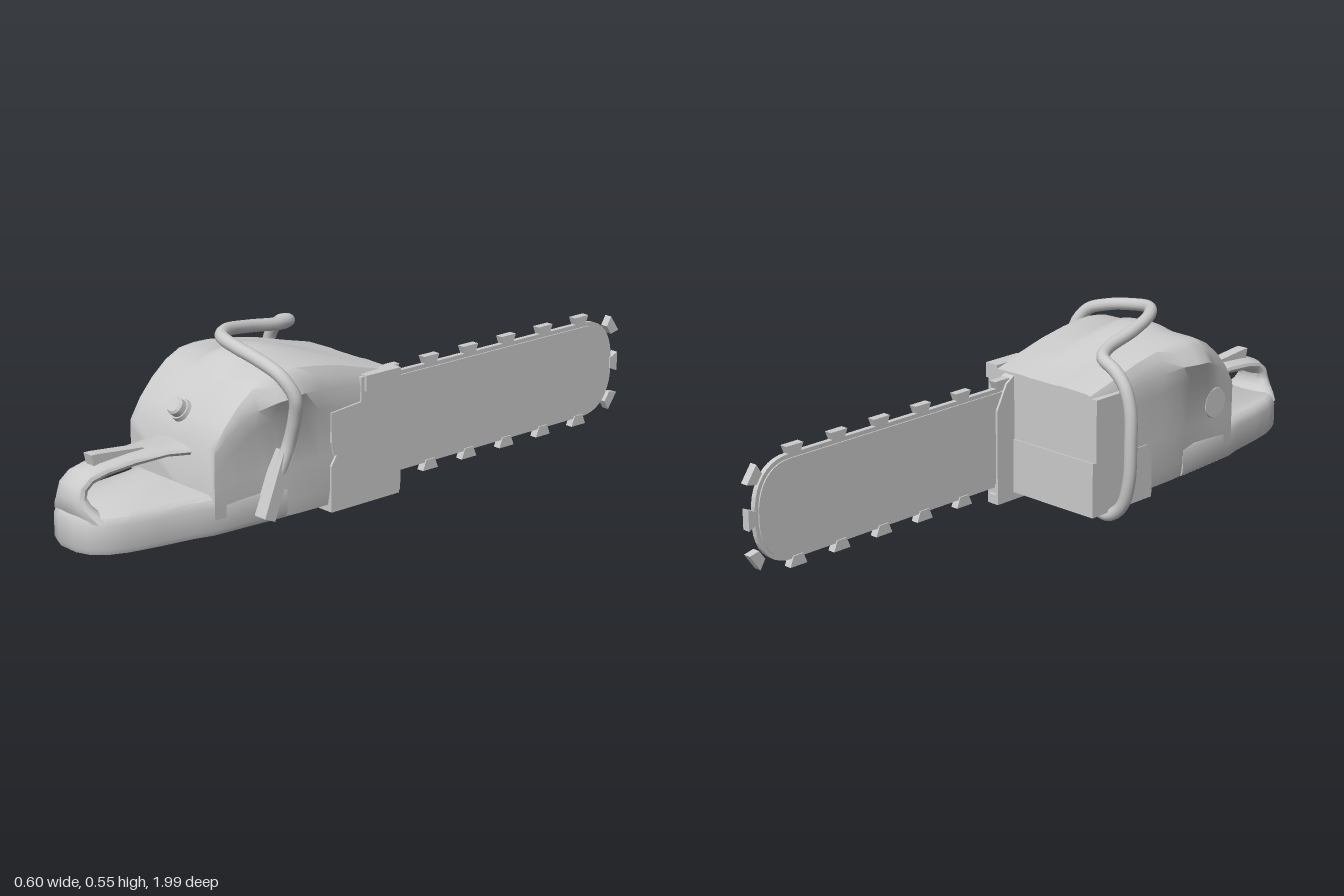
import * as THREE from 'three';
import { toCreasedNormals } from 'three/addons/utils/BufferGeometryUtils.js';

const grey = new THREE.MeshStandardMaterial({ color: 0xcccccc, side: THREE.DoubleSide });
const CX = 0.013; // centre line of the engine body

// Skin a list of closed rings (anticlockwise seen from the far end), with end caps
function loft(rings) {
  const n = rings[0].length, pos = rings.flat(2), idx = [];
  for (let i = 0; i < rings.length - 1; i++) {
    for (let j = 0; j < n; j++) {
      const a = i * n + j, b = i * n + (j + 1) % n;
      idx.push(a, b, b + n, a, b + n, a + n);
    }
  }
  const last = (rings.length - 1) * n;
  for (let j = 1; j < n - 1; j++) idx.push(0, j + 1, j, last, last + j, last + j + 1);
  const g = new THREE.BufferGeometry();
  g.setAttribute('position', new THREE.Float32BufferAttribute(pos, 3));
  g.setIndex(idx);
  return toCreasedNormals(g, 0.7);
}

// Extrude a side outline of [z, y] points from x0 to x1
function sidePlate(points, x0, x1) {
  const shape = new THREE.Shape(points.map(p => new THREE.Vector2(p[0], p[1])));
  const g = new THREE.ExtrudeGeometry(shape, { depth: x1 - x0, bevelEnabled: false });
  return g.rotateY(-Math.PI / 2).translate(x1, 0, 0);
}

export function createModel() {
  const model = new THREE.Group();
  const add = (name, geometry, parent = model) => {
    const m = new THREE.Mesh(geometry, grey);
    m.name = name;
    parent.add(m);
    return m;
  };
  const box = (name, x0, x1, y0, y1, z0, z1) =>
    add(name, new THREE.BoxGeometry(x1 - x0, y1 - y0, z1 - z0))
      .position.set((x0 + x1) / 2, (y0 + y1) / 2, (z0 + z1) / 2);

  // Engine body: z, lower half width, shoulder half width, shoulder y, top half width, top y, ridge
  const stations = [
    [0.00, 0.200, 0.205, 0.36, 0.192, 0.400, 0],
    [0.10, 0.203, 0.207, 0.37, 0.190, 0.425, 0],
    [0.20, 0.205, 0.210, 0.39, 0.188, 0.452, 0.008],
    [0.29, 0.205, 0.215, 0.40, 0.188, 0.468, 0.020],
    [0.36, 0.203, 0.232, 0.41, 0.190, 0.476, 0.026],
    [0.41, 0.198, 0.246, 0.41, 0.192, 0.476, 0.024],
    [0.46, 0.192, 0.240, 0.405, 0.192, 0.470, 0.015],
    [0.51, 0.190, 0.214, 0.385, 0.190, 0.446, 0.004],
    [0.56, 0.188, 0.200, 0.355, 0.188, 0.405, 0],
    [0.605, 0.187, 0.192, 0.32, 0.186, 0.355, 0],
    [0.64, 0.185, 0.186, 0.28, 0.184, 0.300, 0]
  ];
  add('engineBody', loft(stations.map(([z, w, ws, ys, wt, yt, r]) => {
    const half = [
      [w * 0.96, 0.055], [w, 0.10], [w, 0.20], [w + (ws - w) * 0.35, ys - 0.06],
      [ws, ys], [(ws + wt) / 2, ys + (yt - ys) * 0.6], [wt, yt - 0.004], [wt - 0.02, yt],
      [0.075, yt + 0.002], [0.05, yt + r * 0.8], [0.02, yt + r]
    ];
    const left = half.map(([x, y]) => [CX + x, y, z]);
    const right = half.map(([x, y]) => [CX - x, y, z]).reverse();
    return [...left, ...right];
  })));

  // Fuel tank: plan outline swept upward with a rounded upper edge
  const plan = [[0.20, 0.40], [0.19, 0.55], [0.185, 0.64], [0.168, 0.70], [0.152, 0.80], [0.133, 0.89],
    [0.11, 0.945], [0.075, 0.98], [0.035, 0.995]];
  const tankRing = (y, s) => {
    const ring = plan.map(([x, z]) => [CX + x * s, y, 0.4 + (z - 0.4) * (1 - (1 - s) * 0.35)]);
    const other = ring.map(([x, yy, z]) => [2 * CX - x, yy, z]).reverse();
    return [...ring, ...other].reverse();
  };
  add('fuelTank', loft([[0.055, 0.97], [0.07, 1], [0.135, 1], [0.155, 0.96], [0.165, 0.87]]
    .map(([y, s]) => tankRing(y, s))));

  // Rear grip: z, y, half width, half thickness, heading (0 = rearward, 1 = down)
  const grip = [
    [0.58, 0.262, 0.105, 0.032, 0], [0.64, 0.268, 0.088, 0.018, 0], [0.70, 0.270, 0.066, 0.016, 0],
    [0.80, 0.266, 0.056, 0.018, 0], [0.89, 0.258, 0.053, 0.019, 0.1], [0.94, 0.246, 0.052, 0.021, 0.35],
    [0.966, 0.225, 0.053, 0.023, 0.7], [0.972, 0.20, 0.056, 0.024, 1], [0.967, 0.18, 0.068, 0.028, 1],
    [0.955, 0.16, 0.090, 0.034, 1], [0.94, 0.14, 0.11, 0.04, 1]
  ];
  add('rearGrip', loft(grip.map(([z, y, w, t, h]) => {
    const a = h * Math.PI / 2;
    return Array.from({ length: 16 }, (_, k) => {
      const p = k / 16 * 2 * Math.PI, c = Math.cos(p), s = Math.sin(p);
      const u = Math.sign(s) * Math.abs(s) ** 0.75 * t;
      return [CX + w * c, y + u * Math.cos(a), z + u * Math.sin(a)];
    });
  })));
  // Raised flare where the grip meets the body
  add('gripTrigger', sidePlate([[0.74, 0.278], [0.91, 0.27], [0.918, 0.303], [0.90, 0.303], [0.75, 0.289]],
    CX - 0.018, CX + 0.018));

  // Filler cap on the sloping rear face
  const cap = new THREE.Group();
  cap.name = 'fillerCap';
  cap.position.set(CX, 0.355, 0.60);
  cap.rotation.x = 0.9;
  model.add(cap);
  add('capCollar', new THREE.CylinderGeometry(0.03, 0.034, 0.02, 20), cap).position.y = 0.005;
  add('capKnob', toCreasedNormals(new THREE.LatheGeometry(
    [[0, -0.01], [0.026, -0.01], [0.026, 0.033], [0.02, 0.04], [0, 0.04]].map(p => new THREE.Vector2(...p)), 20), 0.6), cap);

  // Vent disc on the right flank
  const vent = add('ventDisc', new THREE.CylinderGeometry(0.045, 0.052, 0.02, 24));
  vent.rotation.z = Math.PI / 2;
  vent.position.set(-0.173, 0.25, 0.55);

  // Crankcase block and side covers
  add('crankcase', sidePlate([[-0.004, 0.035], [0.25, 0.035], [0.25, 0.17], [0.23, 0.2], [-0.004, 0.2]], -0.195, 0.225));
  add('clutchCover', sidePlate([[0, 0.2], [0.24, 0.2], [0.25, 0.24], [0.25, 0.325], [0.14, 0.335],
    [0.14, 0.405], [0, 0.405]], 0.19, 0.226));
  box('upperCover', 0.19, 0.235, 0.365, 0.41, 0, 0.13);
  box('starterCover', -0.205, -0.17, 0.2, 0.39, 0, 0.13);

  // Bar mount hanging behind and below the block
  add('barMount', sidePlate([[0.11, 0.012], [-0.07, 0.012], [-0.07, 0.30], [-0.03, 0.375], [0.01, 0.40],
    [0.01, 0.06], [0.11, 0.06]], 0.12, 0.16));

  // Guide bar with rounded nose
  const barOutline = (inset) => {
    const pts = [[0, 0.065 + inset]];
    for (let i = 0; i <= 20; i++) {
      const a = -Math.PI / 2 + Math.PI * i / 20, c = Math.cos(a), s = Math.sin(a);
      pts.push([-0.84 - (0.13 - inset) * Math.abs(c) ** 0.85, 0.215 + (0.15 - inset) * Math.sign(s) * Math.abs(s) ** 0.85]);
    }
    pts.push([0, 0.365 - inset]);
    return pts.reverse();
  };
  add('guideBar', sidePlate(barOutline(0.012), 0.127, 0.151));
  add('chainRail', sidePlate(barOutline(0), 0.131, 0.147));

  // Chain teeth along both edges and round the nose: z, y, outward angle
  const teeth = new THREE.Group();
  teeth.name = 'chainTeeth';
  model.add(teeth);
  const spots = [[-0.957, 0.325, 0.95], [-0.968, 0.215, Math.PI / 2], [-0.957, 0.105, Math.PI - 0.95]];
  for (let i = 0; i < 6; i++) {
    const z = -0.042 - i * 0.157;
    spots.push([z, 0.362, 0], [z, 0.068, Math.PI]);
  }
  for (const [z, y, a] of spots) {
    const tooth = add('tooth', sidePlate([[-0.017, -0.005], [0.017, -0.005], [0.03, 0.026], [-0.03, 0.026]], -0.012, 0.012), teeth);
    tooth.position.set(0.139, y, z);
    tooth.rotation.x = -a;
  }

  // Wrap-around front handle
  const path = [[0.232, 0.20, 0.445], [0.245, 0.28, 0.42], [0.27, 0.36, 0.42], [0.283, 0.42, 0.43], [0.25, 0.475, 0.45],
    [0.17, 0.505, 0.46], [0.08, 0.522, 0.463], [0.0, 0.532, 0.45], [-0.055, 0.53, 0.39], [-0.09, 0.513, 0.28],
    [-0.11, 0.493, 0.15], [-0.15, 0.483, 0.085], [-0.21, 0.465, 0.068], [-0.25, 0.428, 0.065], [-0.273, 0.36, 0.065],
    [-0.276, 0.25, 0.065], [-0.266, 0.14, 0.07], [-0.235, 0.06, 0.075], [-0.18, 0.021, 0.075], [-0.11, 0.04, 0.075]];
  const curve = new THREE.CatmullRomCurve3(path.map(p => new THREE.Vector3(...p)));
  add('frontHandle', new THREE.TubeGeometry(curve, 90, 0.019, 12));

  // Flat bracket holding the lower end of the handle
  add('handleBracket', sidePlate([[0.475, 0.07], [0.51, 0.085], [0.44, 0.265], [0.405, 0.25]], 0.19, 0.25));

  return model;
}
